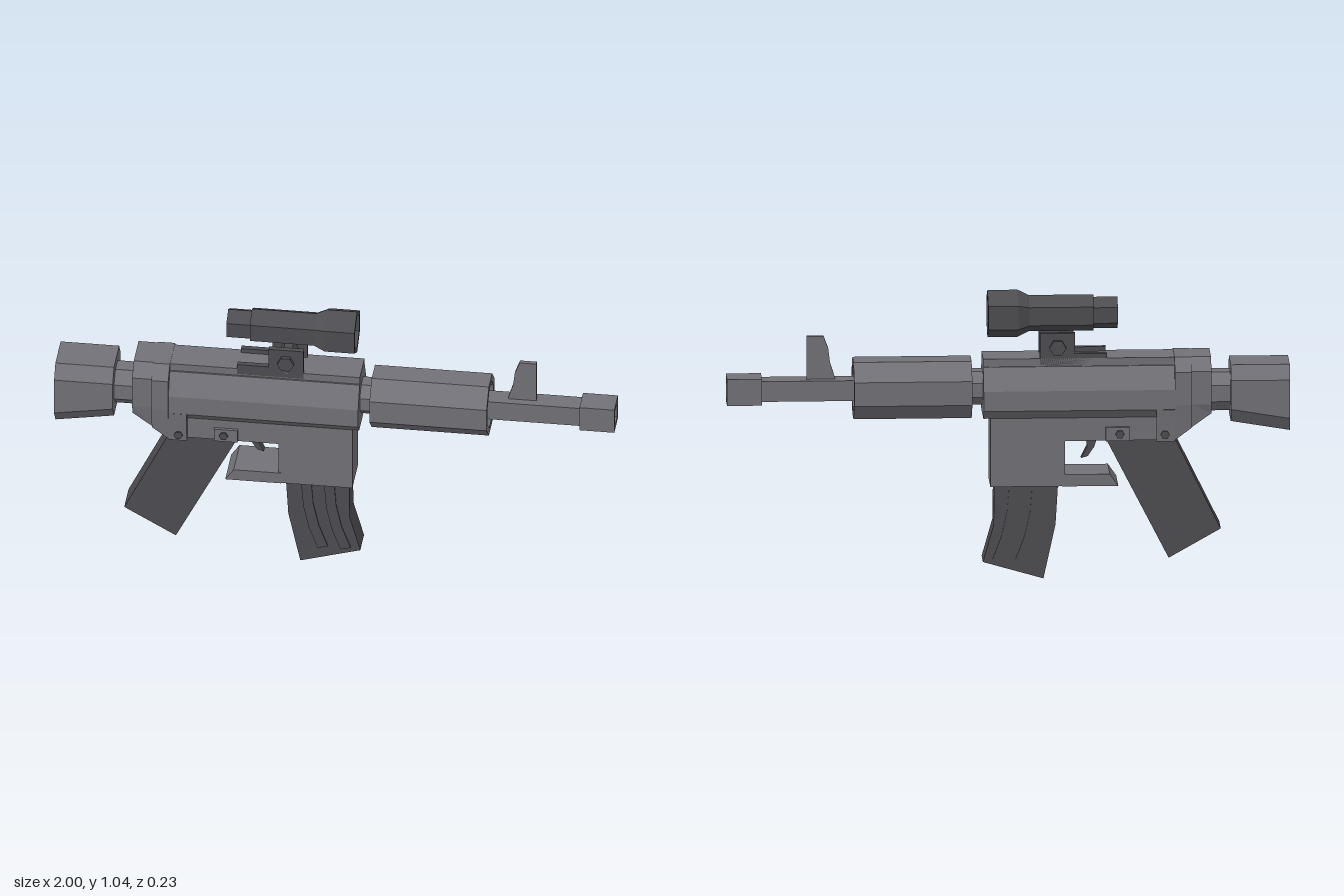
import * as THREE from 'three';

const body = new THREE.MeshStandardMaterial({ color: 0x727177 });
body.name = 'gunmetal grey';
const dark = new THREE.MeshStandardMaterial({ color: 0x4d4d51 });
dark.name = 'dark grey';

// Mirrors half a cross-section, given as [z, y] from top to bottom
const section = half => [...half, ...half.filter(p => p[0] > 0).reverse().map(([z, y]) => [-z, y])];
// Octagon (or box when cz = hz) with chamfered corners
const oct = (hz, y0, y1, cz = hz * 0.42, cy = (y1 - y0) * 0.29) =>
  section([[cz, y1], [hz, y1 - cy], [hz, y0 + cy], [cz, y0]]);
const rect = (hz, y0, y1) => section([[hz, y1], [hz, y0]]);
const hex = (r, y = 0.96) => section([[0, y + r], [r * 0.87, y + r / 2], [r * 0.87, y - r / 2], [0, y - r]]);

// Joins cross-sections along x; rings may turn back to form a bore
function loft(rings, caps = true) {
  const v = [];
  const P = rings.map(([x, s]) => s.map(([z, y]) => [x, y, z]));
  const n = P[0].length;
  for (let i = 0; i + 1 < P.length; i++) {
    for (let j = 0; j < n; j++) {
      const k = (j + 1) % n, a = P[i][j], b = P[i][k], c = P[i + 1][k], d = P[i + 1][j];
      v.push(...a, ...b, ...c, ...a, ...c, ...d);
    }
  }
  if (caps) {
    const f = P[0], l = P[P.length - 1];
    for (let j = 1; j + 1 < n; j++) v.push(...f[0], ...f[j + 1], ...f[j], ...l[0], ...l[j], ...l[j + 1]);
  }
  const g = new THREE.BufferGeometry();
  g.setAttribute('position', new THREE.Float32BufferAttribute(v, 3));
  g.computeVertexNormals();
  return g;
}

// Side profile in x, y with a thickness centred on z
function plate(points, half, z = 0) {
  const shape = new THREE.Shape(points.map(p => new THREE.Vector2(...p)));
  return new THREE.ExtrudeGeometry(shape, { depth: half * 2, bevelEnabled: false }).translate(0, 0, z - half);
}

const box = (x0, x1, y0, y1, hz) =>
  new THREE.BoxGeometry(x1 - x0, y1 - y0, hz * 2).translate((x0 + x1) / 2, (y0 + y1) / 2, 0);

export function createModel() {
  const group = new THREE.Group();
  const add = (name, geometry, material = body) => {
    const m = new THREE.Mesh(geometry, material);
    m.name = name;
    group.add(m);
  };
  const bolt = (name, x, y, r, hz, sides, material = dark) => {
    const g = new THREE.CylinderGeometry(r, r, hz * 2, sides).toNonIndexed();
    g.computeVertexNormals();
    add(name, g.rotateX(Math.PI / 2).rotateZ(Math.PI / 6).translate(x, y, 0), material);
  };

  // Stock and its neck
  add('stock', loft([
    [-1, oct(0.105, 0.54, 0.78, 0.07, 0.05)],
    [-0.79, oct(0.105, 0.575, 0.78, 0.07, 0.05)],
  ]));
  add('stockNeck', loft([[-0.8, oct(0.07, 0.605, 0.745)], [-0.71, oct(0.07, 0.605, 0.745)]]));

  // Rear housing, tapering under
  const rear = (hz, bottom) => section([[hz * 0.6, 0.81], [hz, 0.765], [hz, 0.645], [hz * 0.9, bottom]]);
  add('rearHousing', loft([
    [-0.72, rear(0.107, 0.61)], [-0.65, rear(0.107, 0.56)],
    [-0.65, rear(0.115, 0.56)], [-0.59, rear(0.115, 0.515)],
  ]));
  add('rearLug', loft([
    [-0.59, section([[0.11, 0.64], [0.1, 0.51]])],
    [-0.525, section([[0.11, 0.64], [0.1, 0.51]])],
  ]));

  // Upper receiver and top rail
  const upper = section([[0.068, 0.78], [0.11, 0.7], [0.11, 0.628], [0.08, 0.595]]);
  add('upperReceiver', loft([[-0.6, upper], [0.09, upper]]));
  add('topRail', box(-0.6, 0.09, 0.77, 0.808, 0.062));

  // Lower receiver with magazine well
  add('lowerReceiver', plate([
    [-0.56, 0.63], [-0.56, 0.51], [-0.2, 0.51], [-0.2, 0.345], [0.065, 0.345], [0.065, 0.63],
  ], 0.077));
  add('gripLug', box(-0.43, -0.345, 0.51, 0.56, 0.088));
  add('triggerGuard', plate([[-0.39, 0.345], [-0.36, 0.388], [-0.19, 0.388], [-0.19, 0.345]], 0.08));
  for (const x of [-0.555, -0.395]) bolt('pin', x, 0.535, 0.016, x < -0.5 ? 0.109 : 0.095, 6);
  add('trigger', plate([
    [-0.32, 0.515], [-0.275, 0.515], [-0.282, 0.475], [-0.26, 0.432], [-0.285, 0.44], [-0.308, 0.475],
  ], 0.015), dark);
  add('grip', plate([[-0.59, 0.515], [-0.755, 0.18], [-0.57, 0.075], [-0.345, 0.515]], 0.057), dark);

  // Curved magazine with raised ribs
  add('magazine', plate([
    [-0.177, 0.35], [-0.168, 0.2], [-0.125, 0.003], [0.09, 0.065], [0.052, 0.2], [0.05, 0.35],
  ], 0.05), dark);
  for (const side of [-1, 1]) {
    for (const x of [-0.122, -0.04]) {
      const bend = [[0, 0.345], [0.008, 0.24], [0.028, 0.15], [0.06, 0.065]];
      const right = bend.map(([dx, y]) => [x + dx + 0.036, y + 0.01]).reverse();
      add('magazineRib', plate([...bend.map(([dx, y]) => [x + dx, y]), ...right], 0.004, side * 0.051), dark);
    }
  }

  // Collar and handguard with a recessed front
  add('collar', loft([[0.08, oct(0.065, 0.635, 0.755)], [0.14, oct(0.065, 0.635, 0.755)]]));
  const guard = oct(0.105, 0.59, 0.797), recess = oct(0.08, 0.615, 0.772);
  add('handguard', loft([[0.13, guard], [0.55, guard], [0.55, recess], [0.525, oct(0.07, 0.625, 0.762)]]));

  // Barrel, hollow muzzle and front sight
  add('barrel', loft([[0.52, rect(0.037, 0.655, 0.729)], [0.9, rect(0.037, 0.655, 0.729)]]));
  add('muzzle', loft([
    [0.875, rect(0.048, 0.644, 0.74)], [1, rect(0.048, 0.644, 0.74)],
    [1, rect(0.03, 0.662, 0.722)], [0.93, rect(0.03, 0.662, 0.722)],
  ]));
  add('frontSight', plate([
    [0.615, 0.725], [0.615, 0.735], [0.632, 0.79], [0.638, 0.84], [0.655, 0.885], [0.715, 0.885], [0.715, 0.725],
  ], 0.008));

  // Scope mount: two side brackets on a foot, joined by a cross bolt
  for (const side of [-1, 1]) {
    add('scopeBracket', plate([
      [-0.35, 0.785], [-0.35, 0.825], [-0.237, 0.825], [-0.237, 0.9],
      [-0.112, 0.9], [-0.112, 0.785],
    ], 0.01, side * 0.052), dark);
  }
  bolt('scopeBolt', -0.175, 0.848, 0.03, 0.077, 6);

  // Open scope tube
  add('scope', loft([
    [-0.39, hex(0.047)], [-0.39, hex(0.057)], [-0.305, hex(0.057)], [-0.305, hex(0.066)],
    [-0.075, hex(0.066)], [-0.035, hex(0.086)], [0.072, hex(0.086)], [0.072, hex(0.068)],
    [0.02, hex(0.055)], [-0.39, hex(0.047)],
  ], false), dark);

  return group;
}
